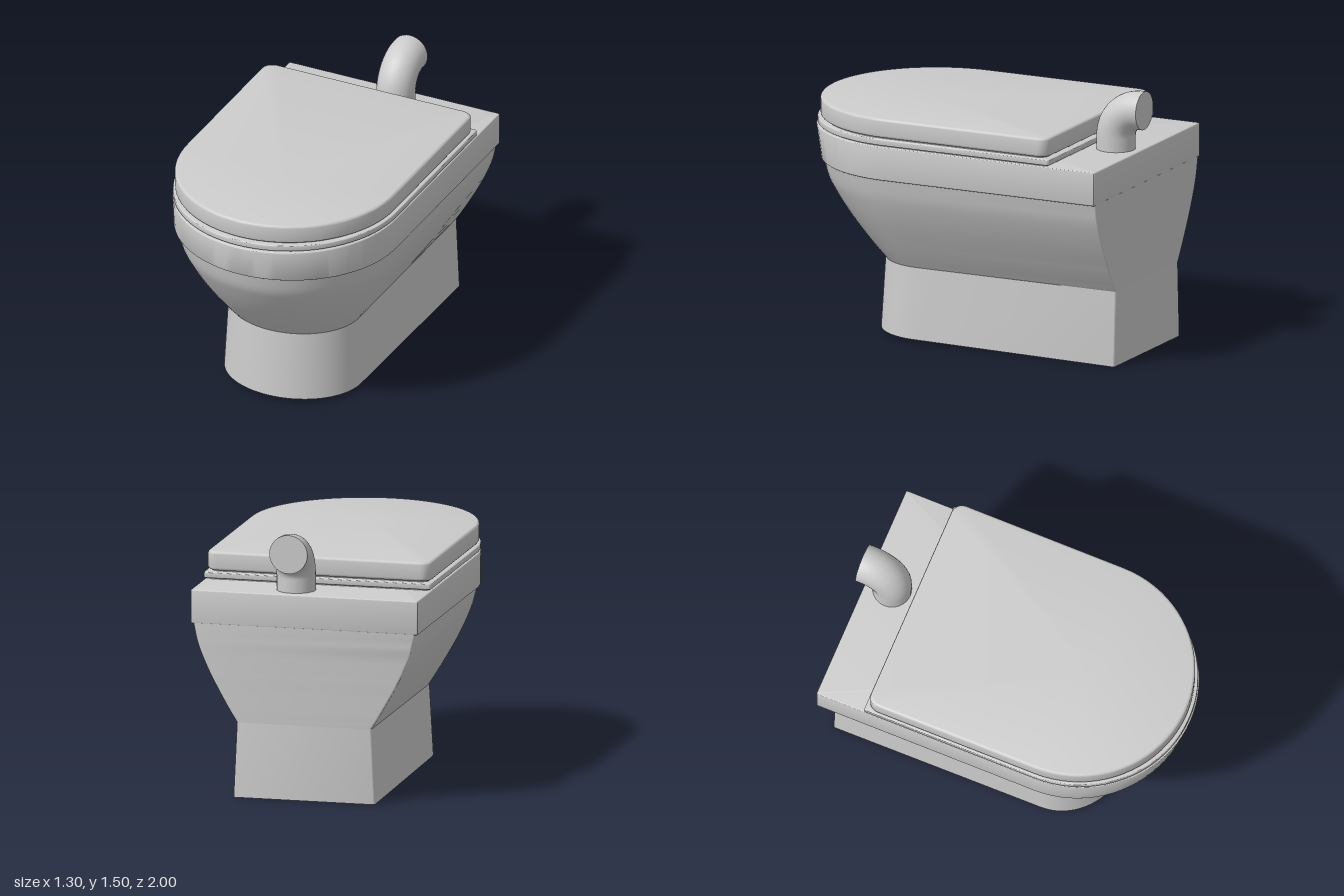
import * as THREE from 'three';
import { toCreasedNormals } from 'three/addons/utils/BufferGeometryUtils.js';

const ARC = 40; // segments around the rounded front

// D-shaped outline: flat back with softened corners, straight sides, elliptical front
function outline({ y, w, front, start, back, r }) {
  const pts = [];
  const n = 5;
  for (let i = 0; i <= n; i++) {
    const a = (i / n) * Math.PI / 2;
    pts.push([w - r + r * Math.sin(a), y, back + r - r * Math.cos(a)]);
  }
  for (let i = 0; i <= ARC; i++) {
    const a = (i / ARC) * Math.PI;
    pts.push([w * Math.cos(a), y, start + (front - start) * Math.sin(a)]);
  }
  for (let i = n; i >= 0; i--) {
    const a = (i / n) * Math.PI / 2;
    pts.push([-(w - r + r * Math.sin(a)), y, back + r - r * Math.cos(a)]);
  }
  return pts;
}

// Skin a stack of outlines, bottom to top, and close both ends
function loft(rows, adjust) {
  const rings = rows.map(outline);
  if (adjust) rings.forEach(adjust);
  const n = rings[0].length;
  const pos = rings.flat(2);
  const index = [];
  for (let i = 0; i < rings.length - 1; i++) {
    for (let j = 0; j < n; j++) {
      const k = (j + 1) % n;
      const a = i * n + j, b = i * n + k, c = a + n, d = b + n;
      index.push(a, c, b, b, c, d);
    }
  }
  const cap = (i, top) => {
    const centre = pos.length / 3;
    for (let c = 0; c < 3; c++) pos.push(rings[i].reduce((s, p) => s + p[c], 0) / n);
    for (let j = 0; j < n; j++) {
      const a = i * n + j, b = i * n + (j + 1) % n;
      if (top) index.push(centre, b, a);
      else index.push(centre, a, b);
    }
  };
  cap(0, false);
  cap(rings.length - 1, true);
  const geo = new THREE.BufferGeometry();
  geo.setAttribute('position', new THREE.Float32BufferAttribute(pos, 3));
  geo.setIndex(index);
  return toCreasedNormals(geo, 0.5);
}

// Slab with rounded top and bottom edges; the front may lean outwards
function slab(y0, y1, w, front0, front1, start, back, r, bevel) {
  const row = (y, front, d) => ({ y, w: w - d, front: front - d, start, back: back + d, r });
  const rows = [];
  for (let i = 0; i <= 4; i++) {
    const a = (i / 4) * Math.PI / 2;
    rows.push(row(y0 + bevel * (1 - Math.sin(a)), front0, bevel * (1 - Math.cos(a))));
  }
  rows.reverse();
  rows.sort((a, b) => a.y - b.y);
  for (let i = 0; i <= 4; i++) {
    const a = (i / 4) * Math.PI / 2;
    rows.push(row(y1 - bevel * (1 - Math.sin(a)), front1, bevel * (1 - Math.cos(a))));
  }
  return loft(rows);
}

export function createModel() {
  const group = new THREE.Group();
  const ceramic = new THREE.MeshStandardMaterial({ color: 0xcccccc });
  ceramic.name = 'ceramic';
  const add = (name, geo) => {
    const mesh = new THREE.Mesh(geo, ceramic);
    mesh.name = name;
    group.add(mesh);
    return mesh;
  };
  const BACK = -0.975;

  // Foot, with an underside rising slightly toward the front
  add('pedestal', loft([
    { y: 0, w: 0.405, front: 0.62, start: 0.27, back: BACK, r: 0.012 },
    { y: 0.425, w: 0.385, front: 0.595, start: 0.26, back: BACK, r: 0.012 },
  ], (ring, i) => {
    if (i === 0) ring.forEach((p) => { p[1] = 0.022 * (p[2] - BACK) / 1.595; });
  }));

  // Flaring bowl, smoothed through a few measured levels: height, half width, front
  const levels = [
    [0.425, 0.385, 0.595], [0.5, 0.432, 0.665], [0.6, 0.489, 0.75], [0.7, 0.542, 0.825],
    [0.8, 0.587, 0.89], [0.87, 0.612, 0.928], [0.975, 0.635, 0.955],
  ];
  const curve = new THREE.CatmullRomCurve3(levels.map((l) => new THREE.Vector3(l[1], l[0], l[2])));
  add('bowl', loft(curve.getPoints(18).map((p) => ({
    y: p.y, w: p.x, front: p.z, start: 0.26 + 0.07 * (p.y - 0.425) / 0.55, back: BACK, r: 0.012,
  }))));

  // Rim, seat and lid, stacked with narrow shadow gaps
  add('rim', slab(0.97, 1.163, 0.65, 0.968, 1.0, 0.33, BACK, 0.008, 0.008));
  add('seatSpacer', slab(1.155, 1.175, 0.63, 0.97, 0.97, 0.33, -0.67, 0.02, 0.002));
  add('seat', slab(1.17, 1.205, 0.65, 0.993, 0.993, 0.33, -0.69, 0.012, 0.006));
  add('lidSpacer', slab(1.2, 1.216, 0.62, 0.955, 0.955, 0.33, -0.65, 0.05, 0.002));
  add('lid', slab(1.211, 1.32, 0.641, 0.975, 0.975, 0.33, -0.674, 0.06, 0.016));

  // Flush pipe: rises from the rear deck and bends backward
  const px = 0.083, pz = -0.825, bend = 0.155, radius = 0.109;
  const path = new THREE.CurvePath();
  const v = (y, z) => new THREE.Vector3(px, y, z);
  const k = bend * 0.5523;
  path.add(new THREE.LineCurve3(v(1.15, pz), v(1.24, pz)));
  path.add(new THREE.CubicBezierCurve3(
    v(1.24, pz), v(1.24 + k, pz), v(1.24 + bend, pz - bend + k), v(1.24 + bend, pz - bend)));
  path.add(new THREE.LineCurve3(v(1.24 + bend, pz - bend), v(1.24 + bend, -1)));
  add('flushPipe', new THREE.TubeGeometry(path, 40, radius, 32, false));
  const end = add('pipeEnd', new THREE.CircleGeometry(radius, 32));
  end.rotation.y = Math.PI;
  end.position.set(px, 1.24 + bend, -1);

  return group;
}
